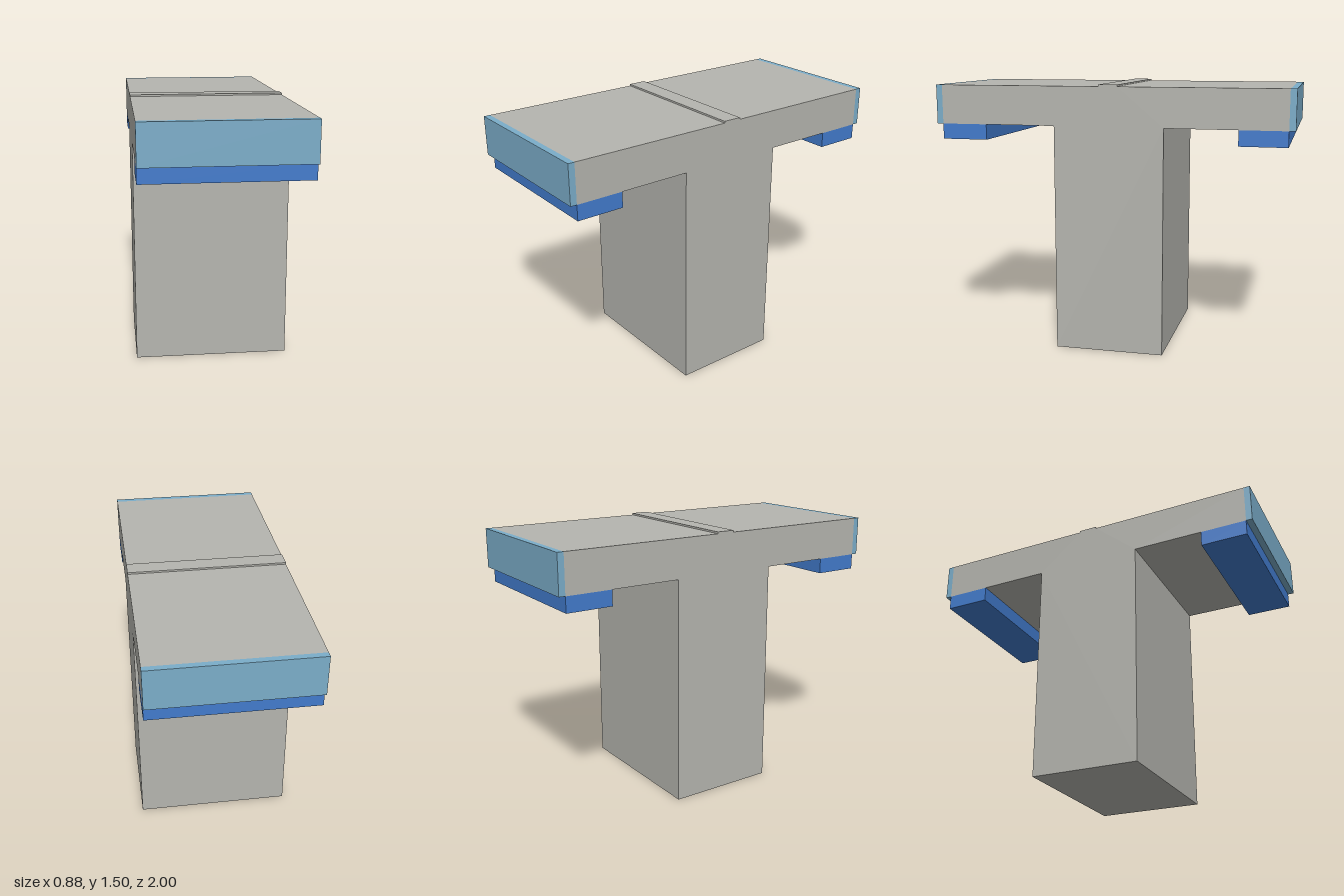
import * as THREE from 'three';

const WIDTH = 0.876;

export function createModel() {
  const model = new THREE.Group();
  const material = (name, color) => {
    const m = new THREE.MeshStandardMaterial({ color });
    m.name = name;
    return m;
  };
  const stone = material('warm grey', 0xb5b5af);
  const paleBlue = material('pale blue', 0x7badc9);
  const blue = material('blue', 0x427bcc);

  const add = (name, geometry, mat) => {
    const mesh = new THREE.Mesh(geometry, mat);
    mesh.name = name;
    model.add(mesh);
    return mesh;
  };

  // T-shaped body with a low ridge, drawn in side profile and extruded across x
  const half = [[0.307, 0], [0.307, 1.272], [0.965, 1.272], [0.965, 1.49], [0.052, 1.49], [0.052, 1.5]];
  const outline = [...half, ...half.map(([z, y]) => [-z, y]).reverse()];
  const profile = new THREE.Shape(outline.map(([z, y]) => new THREE.Vector2(z, y)));
  const body = new THREE.ExtrudeGeometry(profile, { depth: WIDTH, bevelEnabled: false });
  body.translate(0, 0, -WIDTH / 2).rotateY(-Math.PI / 2);
  add('body', body, stone);

  // End panels and the blocks hung beneath each arm
  for (const [side, s] of [['front', 1], ['back', -1]]) {
    add(`${side}EndPanel`, new THREE.BoxGeometry(WIDTH, 0.218, 0.035), paleBlue)
      .position.set(0, 1.381, s * 0.9825);
    add(`${side}UnderBlock`, new THREE.BoxGeometry(WIDTH, 0.086, 0.26), blue)
      .position.set(0, 1.229, s * 0.835);
  }
  return model;
}
